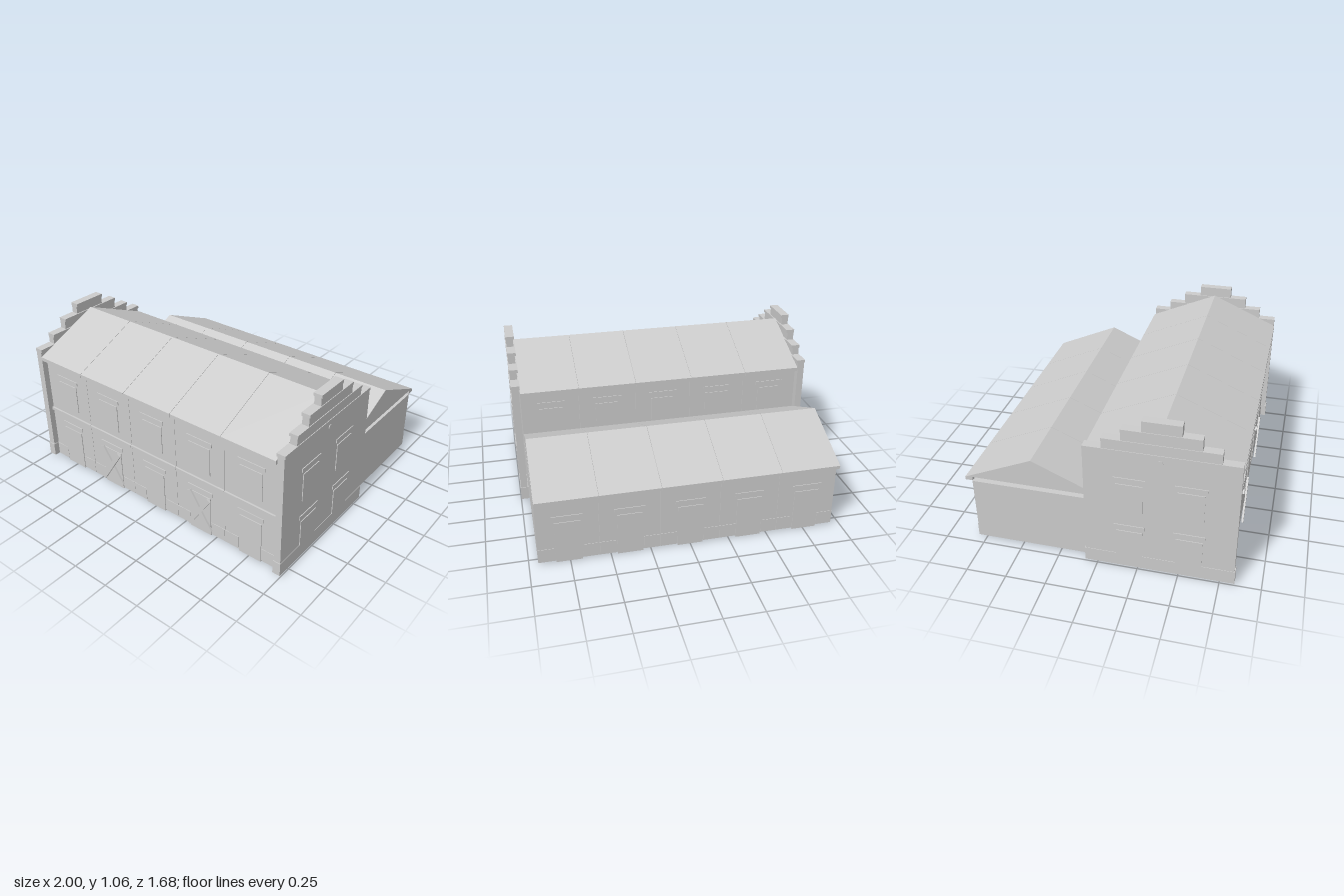
import * as THREE from 'three';

const stone = new THREE.MeshStandardMaterial({ color: 0xcccccc });
stone.name = 'pale grey';

const BAY = 0.378;
const bays = [-2, -1, 0, 1, 2].map((i) => i * BAY);

// box given by its min and max corners
function block(parent, name, x0, x1, y0, y1, z0, z1) {
  const m = new THREE.Mesh(new THREE.BoxGeometry(x1 - x0, y1 - y0, z1 - z0), stone);
  m.position.set((x0 + x1) / 2, (y0 + y1) / 2, (z0 + z1) / 2);
  m.name = name;
  parent.add(m);
  return m;
}

// solid with a [z, y] outline, running along x around a centre
function prism(parent, name, outline, x, width) {
  const shape = new THREE.Shape(outline.map(([z, y]) => new THREE.Vector2(-z, y)));
  const geo = new THREE.ExtrudeGeometry(shape, { depth: width, bevelEnabled: false });
  geo.translate(0, 0, -width / 2).rotateY(Math.PI / 2);
  const m = new THREE.Mesh(geo, stone);
  m.position.x = x;
  m.name = name;
  parent.add(m);
}

// thin opening panel with a lintel, facing +z in its own frame
function opening(parent, name, x, z, angle, y0, y1) {
  const g = new THREE.Group();
  g.name = name;
  block(g, 'panel', -0.08, 0.08, y0, y1, -0.004, 0.005);
  block(g, 'lintel', -0.095, 0.095, y1 + 0.02, y1 + 0.045, -0.004, 0.005);
  g.position.set(x, 0, z);
  g.rotation.y = angle;
  parent.add(g);
}

export function createModel() {
  const model = new THREE.Group();
  model.name = 'warehouse';
  const w = BAY / 2 - 0.001;

  const mainRoof = [[-0.08, 0.775], [0.84, 0.775], [0.84, 0.8], [0.38, 1.0], [-0.08, 0.8]];
  const annexRoof = [[-0.845, 0.44], [-0.797, 0.44], [-0.797, 0.465], [-0.04, 0.465],
    [-0.04, 0.488], [-0.41, 0.65], [-0.845, 0.46]];

  // five repeated bays: main hall, rear annex and their roofs
  for (const x of bays) {
    const bay = new THREE.Group();
    bay.name = 'bay';
    block(bay, 'mainWall', x - w, x + w, 0.01, 0.775, -0.04, 0.8);
    block(bay, 'annexWall', x - w, x + w, 0.01, 0.435, -0.8, -0.04);
    prism(bay, 'mainRoof', mainRoof, x, 2 * w);
    prism(bay, 'annexRoof', annexRoof, x, 2 * w);
    block(bay, 'stringCourse', x - w, x + w, 0.38, 0.4, 0.795, 0.812);

    opening(bay, 'frontDoor', x, 0.8, 0, 0, 0.28);
    opening(bay, 'frontWindow', x, 0.8, 0, 0.45, 0.64);
    opening(bay, 'backDoor', x, -0.8, Math.PI, 0, 0.28);
    opening(bay, 'backWindow', x, -0.04, Math.PI, 0.5, 0.66);

    // low plinth on both sides of each door
    for (const s of [-1, 1]) {
      const a = Math.min(x + s * 0.085, x + s * w);
      const b = Math.max(x + s * 0.085, x + s * w);
      block(bay, 'frontPlinth', a, b, 0.01, 0.1, 0.796, 0.803);
      block(bay, 'backPlinth', a, b, 0.01, 0.1, -0.803, -0.796);
    }
    model.add(bay);
  }

  // crossed boards over two front doors
  for (const x of [-BAY, BAY]) {
    for (const s of [-1, 1]) {
      const board = block(model, 'crossBoard', -0.015, 0.015, -0.148, 0.148, 0, 0.012);
      board.position.set(x, 0.16, s > 0 ? 0.812 : 0.822);
      board.rotation.z = s * 0.585;
    }
  }

  // stepped gable walls: [z min, z max, top]
  const steps = [
    [-0.072, 0.835, 0.85],
    [0.04, 0.72, 0.917],
    [0.152, 0.61, 0.99],
    [0.27, 0.497, 1.06],
  ];
  for (const s of [-1, 1]) {
    const end = new THREE.Group();
    end.name = s > 0 ? 'leftGable' : 'rightGable';
    const slab = (name, a, b, y0, y1, z0, z1) =>
      block(end, name, Math.min(s * a, s * b), Math.max(s * a, s * b), y0, y1, z0, z1);
    let base = 0.01;
    for (const [z0, z1, top] of steps) {
      slab('gableStep', 0.95, 0.995, base, top - 0.02, z0, z1);
      slab('stepCap', 0.942, 0.999, top - 0.02, top, z0, z1);
      base = top;
    }
    slab('gablePlinth', 0.946, 0.998, 0.01, 0.1, -0.077, 0.84);

    for (const z of [0.2, 0.56]) {
      opening(end, 'lowerEndWindow', s * 0.995, z, s * Math.PI / 2, 0.1, 0.28);
      opening(end, 'upperEndWindow', s * 0.995, z, s * Math.PI / 2, 0.43, 0.62);
    }

    // small round anchor plate
    const disc = new THREE.Mesh(new THREE.CylinderGeometry(0.016, 0.016, 0.008, 16), stone);
    disc.name = 'anchorPlate';
    disc.rotation.z = Math.PI / 2;
    disc.position.set(s * 0.995, 0.8, 0.38);
    end.add(disc);
    model.add(end);
  }
  return model;
}
